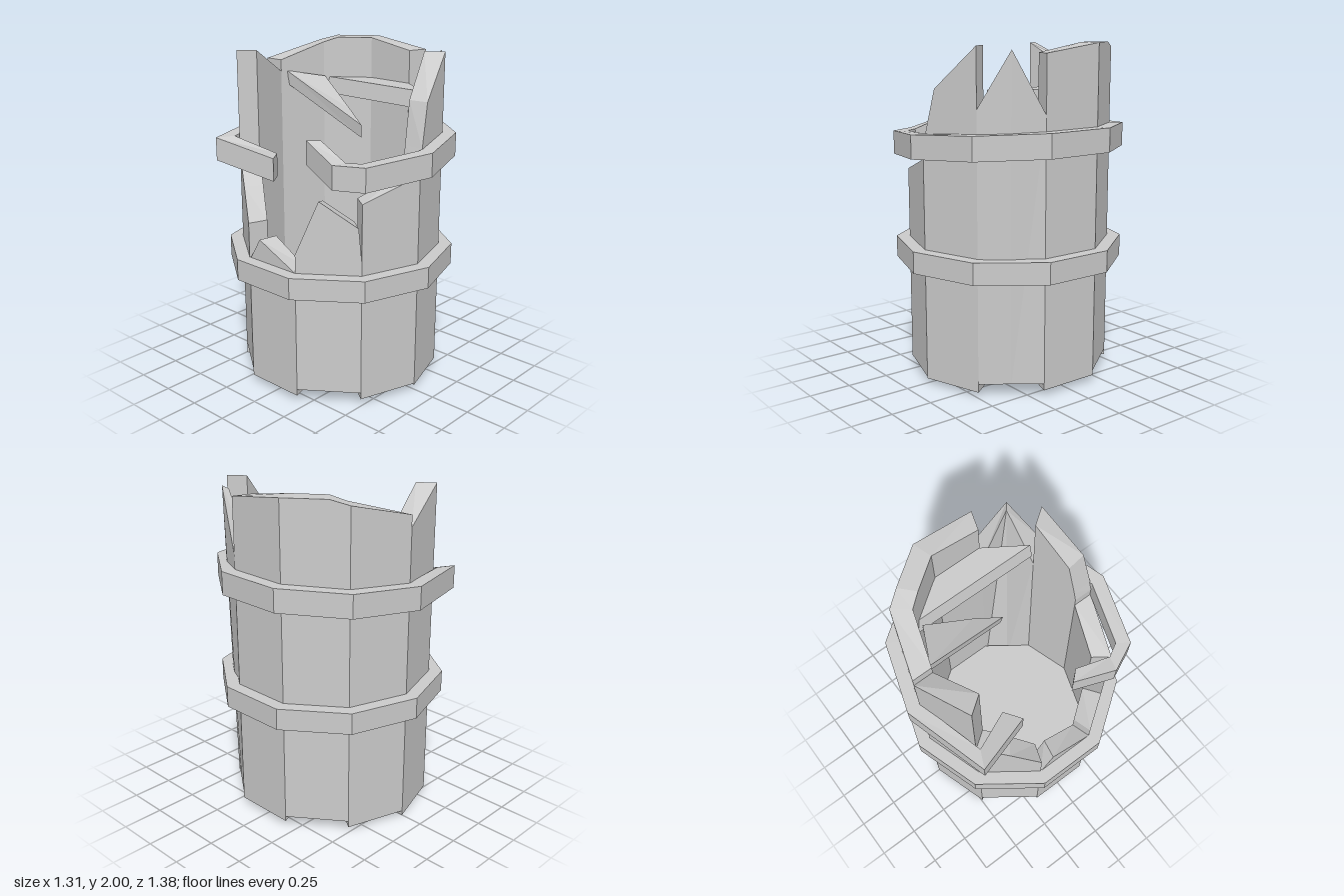
import * as THREE from 'three';

const SIDES = 10, R_OUT = 0.61, R_IN = 0.49;
const material = new THREE.MeshStandardMaterial({ color: 0xcccccc, flatShading: true });

// Skin a row of four-cornered cross-sections; cap both ends unless closed
function loft(name, rings, closed = false) {
  const pos = [];
  const quad = (a, b, c, d) => [a, b, c, a, c, d].forEach(p => pos.push(...p));
  const steps = closed ? rings.length : rings.length - 1;
  for (let k = 0; k < steps; k++) {
    const a = rings[k], b = rings[(k + 1) % rings.length];
    for (let j = 0; j < 4; j++) quad(a[j], b[j], b[(j + 1) % 4], a[(j + 1) % 4]);
  }
  if (!closed) {
    quad(...rings[0]);
    quad(...[...rings[rings.length - 1]].reverse());
  }
  const geometry = new THREE.BufferGeometry();
  geometry.setAttribute('position', new THREE.Float32BufferAttribute(pos, 3));
  geometry.computeVertexNormals();
  const mesh = new THREE.Mesh(geometry, material);
  mesh.name = name;
  return mesh;
}

// Corner i of the ten-sided plan, counted from the front towards +x
const corner = (i, r) => {
  const a = (i * Math.PI * 2) / SIDES;
  return [Math.sin(a) * r, Math.cos(a) * r];
};

// One stave: top is a list of [t along width, outer y, inner y, outer bulge, inner bulge]
function stave(i, bottom, top) {
  const at = (t, r, y) => {
    const [x0, z0] = corner(i, r), [x1, z1] = corner(i + 1, r);
    return [x0 + (x1 - x0) * t, y, z0 + (z1 - z0) * t];
  };
  return loft('stave' + (i + 1), top.map(([t, yo, yi = yo, so = 1, si = 1]) => [
    at(t, R_OUT, bottom), at(t, R_OUT * so, yo), at(t, R_IN * si, yi), at(t, R_IN, bottom),
  ]));
}

// Hoop cross-section from an outer and inner plan point and a height range
const hoopRing = ([xo, zo], [xi, zi], low, high) =>
  [[xo, low, zo], [xo, high, zo], [xi, high, zi], [xi, low, zi]];

// Splintered outline of every stave, front to +x to back to -x
const STAVES = [
  [0.03, [[0, 1.42], [0.05, 1.5], [0.23, 1.75], [1, 1.99]]],
  [0.08, [[0, 1.65, 1.55], [0.5, 1.97, 1.95, 1.07, 1.25], [1, 1.62, 1.55]]],
  [0.04, [[0, 1.95], [1, 2]]],
  [0.07, [[0, 2], [0.7, 2], [1, 1.97]]],
  [0.03, [[0, 1.97], [1, 1.88]]],
  [0, [[0, 1.81], [1, 1.98]]],
  [0.08, [[0, 1.35], [0.5, 1.2], [1, 1.03]]],
  [0.04, [[0, 0.8], [0.24, 0.95], [1, 0.82]]],
  [0.08, [[0, 0.93], [0.36, 1.25, 1.22], [0.95, 1.1], [1, 0.9]]],
  [0.04, [[0, 1.24], [1, 1.35]]],
];

export function createModel() {
  const model = new THREE.Group();
  model.name = 'brokenBarrel';

  const staves = new THREE.Group();
  staves.name = 'staves';
  STAVES.forEach(([bottom, top], i) => staves.add(stave(i, bottom, top)));
  model.add(staves);

  // Recessed floor
  const floor = new THREE.Mesh(new THREE.CylinderGeometry(R_IN, R_IN, 0.08, SIDES), material);
  floor.name = 'floor';
  floor.position.y = 0.24;
  model.add(floor);

  // Whole lower hoop
  const lower = [];
  for (let i = 0; i < SIDES; i++) {
    lower.push(hoopRing(corner(i, 0.69), corner(i, 0.605), 0.69, 0.82));
  }
  model.add(loft('lowerHoop', lower, true));

  // Tilted upper hoop, snapped open on the -x side with bent ends
  const upper = [
    hoopRing([-0.42, 0.13], [-0.365, 0.19], 1.41, 1.55),
    hoopRing([-0.49, 0.39], [-0.405, 0.41], 1.33, 1.47),
    hoopRing([-0.41, 0.56], [-0.36, 0.49], 1.33, 1.47),
  ];
  for (let i = 0; i <= SIDES / 2; i++) {
    const outer = corner(i, 0.69), low = 1.355 + 0.054 * outer[0];
    upper.push(hoopRing(outer, corner(i, 0.605), low, low + 0.14));
  }
  upper.push(
    hoopRing([-0.505, -0.54], [-0.4, -0.49], 1.33, 1.47),
    hoopRing([-0.38, -0.18], [-0.28, -0.25], 1.24, 1.38),
  );
  model.add(loft('upperHoop', upper));

  // Remaining edge of the lid
  const lidPiece = (x, y) => [[x, y, -0.385], [x, y, 0.385], [0.465, y, 0.15], [0.465, y, -0.15]];
  model.add(loft('lidRemnant', [lidPiece(0.31, 1.75), lidPiece(0.29, 1.65)]));

  // Loose splinter hanging inside the back
  model.add(loft('lidSplinter', [
    [[0.04, 1.81, -0.48], [0.13, 1.53, 0.06], [0.2, 1.6, -0.1], [0.27, 1.76, -0.37]],
    [[0.05, 1.72, -0.47], [0.14, 1.45, 0.05], [0.24, 1.53, -0.11], [0.3, 1.67, -0.36]],
  ]));

  return model;
}
